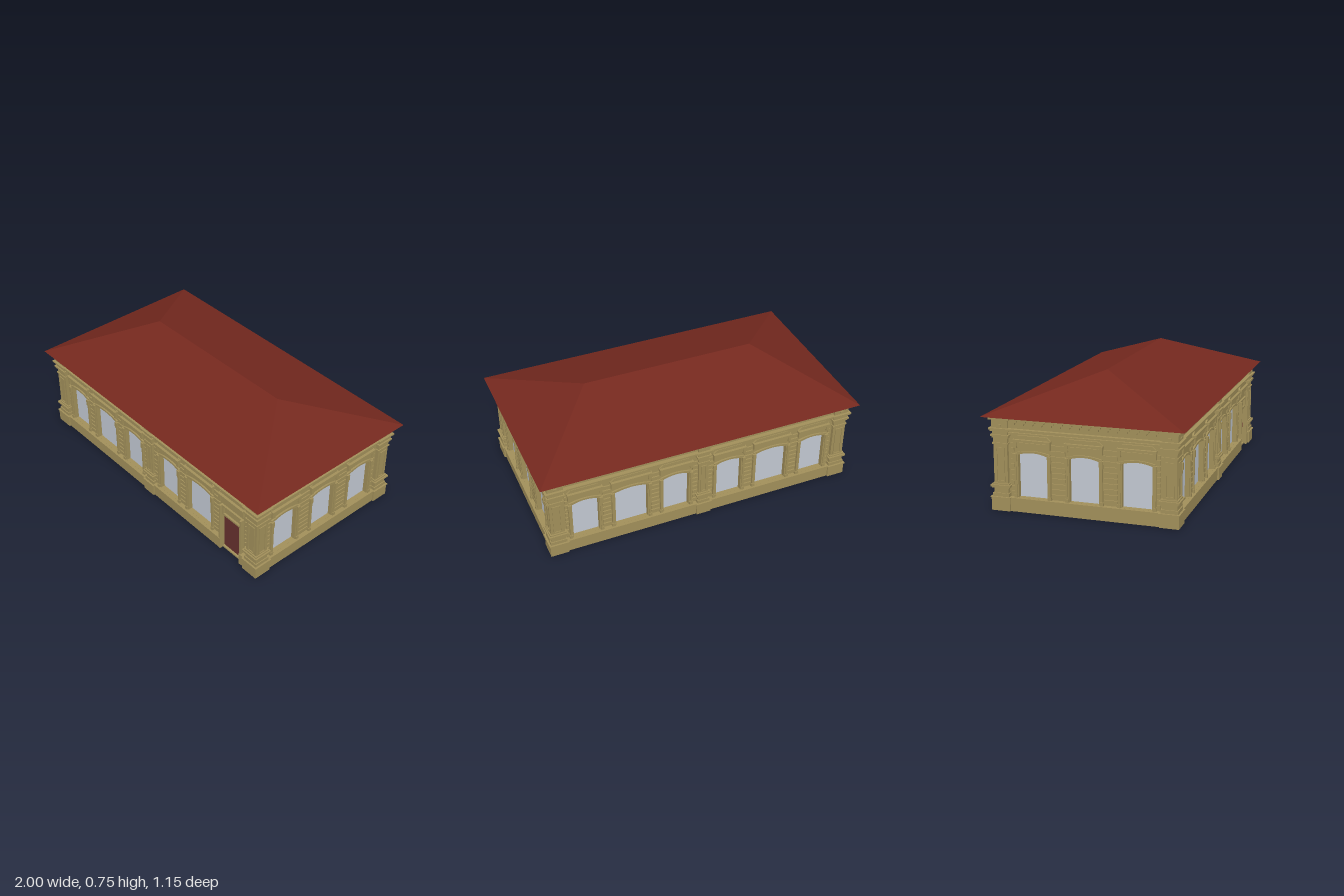
import * as THREE from 'three';

const mat = (color, side = THREE.FrontSide) => new THREE.MeshStandardMaterial({ color, side });
const stone = mat(0xa18f5a);
const roofMat = mat(0x74281e);
const glassMat = mat(0xc2c8d2, THREE.DoubleSide);
const doorMat = mat(0x66302e);

const WX = 0.925, WZ = 0.505; // wall planes

function add(parent, name, geo, material = stone, x = 0, y = 0, z = 0) {
  const m = new THREE.Mesh(geo, material);
  m.name = name;
  m.position.set(x, y, z);
  parent.add(m);
  return m;
}

// box given by its limits
function slab(parent, name, x0, x1, y0, y1, z0, z1, material = stone) {
  return add(parent, name, new THREE.BoxGeometry(x1 - x0, y1 - y0, z1 - z0), material,
    (x0 + x1) / 2, (y0 + y1) / 2, (z0 + z1) / 2);
}

// opening outline with a shallow arched head
function archPath(Type, cx, w, y0, spring, rise) {
  const p = new Type();
  p.moveTo(cx - w / 2, y0);
  p.lineTo(cx + w / 2, y0);
  p.lineTo(cx + w / 2, spring);
  p.quadraticCurveTo(cx, spring + 2 * rise, cx - w / 2, spring);
  p.closePath();
  return p;
}

function rectPath(Type, x0, x1, y0, y1) {
  return new Type([[x0, y0], [x1, y0], [x1, y1], [x0, y1]].map(p => new THREE.Vector2(...p)));
}

function extrude(parent, name, shape, z0, z1) {
  const geo = new THREE.ExtrudeGeometry(shape, { depth: z1 - z0, bevelEnabled: false, curveSegments: 10 });
  return add(parent, name, geo, stone, 0, 0, z0);
}

// chamfered hood, ledge and small end drops above an opening
function hood(parent, cx, w) {
  const h = w / 2 + 0.022;
  const s = new THREE.Shape([[-h, 0.37], [h, 0.37], [h, 0.415], [h - 0.022, 0.435], [-h + 0.022, 0.435], [-h, 0.415]]
    .map(([x, y]) => new THREE.Vector2(cx + x, y)));
  extrude(parent, 'hoodPanel', s, 0, 0.01);
  slab(parent, 'hoodLedge', cx - h - 0.004, cx + h + 0.004, 0.402, 0.414, 0, 0.026);
  slab(parent, 'hoodBand', cx - h + 0.012, cx + h - 0.012, 0.376, 0.396, 0, 0.016);
  for (const k of [-1, 1]) slab(parent, 'hoodBracket', cx + k * (h - 0.008) - 0.009, cx + k * (h - 0.008) + 0.009, 0.365, 0.402, 0, 0.021);
}

function windowUnit(parent, cx, w) {
  const g = new THREE.Group();
  g.name = 'window';
  parent.add(g);
  slab(g, 'glass', cx - w / 2 - 0.005, cx + w / 2 + 0.005, 0.075, 0.345, -0.022, -0.018, glassMat);
  const s = archPath(THREE.Shape, cx, w + 0.034, 0.08, 0.336, 0.015);
  s.holes.push(archPath(THREE.Path, cx, w, 0.0805, 0.325, 0.015));
  extrude(g, 'surround', s, 0, 0.01);
  // shouldered jambs
  for (const k of [-1, 1]) {
    const x = cx + k * (w / 2 + 0.015);
    slab(g, 'jamb', x - 0.006, x + 0.006, 0.09, 0.29, 0, 0.015);
    slab(g, 'jambShoulder', x - 0.01, x + 0.01, 0.29, 0.33, 0, 0.02);
    slab(g, 'jambFoot', x - 0.01, x + 0.01, 0.08, 0.1, 0, 0.018);
  }
  hood(g, cx, w);
}

function doorUnit(parent, cx, w) {
  const g = new THREE.Group();
  g.name = 'door';
  parent.add(g);
  slab(g, 'doorLeaf', cx - w / 2, cx + w / 2, 0.002, 0.26, -0.024, -0.008, doorMat);
  slab(g, 'doorHandle', cx + w / 2 - 0.018, cx + w / 2 - 0.012, 0.12, 0.15, -0.008, 0, doorMat);
  for (const k of [-1, 1]) {
    const x = cx + k * (w / 2 + 0.006);
    slab(g, 'doorJamb', x - 0.006, x + 0.006, 0, 0.33, 0, 0.026);
  }
  const s = rectPath(THREE.Shape, cx - w / 2, cx + w / 2, 0.26, 0.33);
  s.holes.push(rectPath(THREE.Path, cx - w / 2 + 0.012, cx + w / 2 - 0.012, 0.272, 0.318));
  extrude(g, 'transomFrame', s, 0, 0.012);
  hood(g, cx, w);
}

// raised rectangular frame on a pilaster face
function panelFrame(parent, cx, hw, y0, y1, z) {
  const s = rectPath(THREE.Shape, cx - hw, cx + hw, y0, y1);
  s.holes.push(rectPath(THREE.Path, cx - hw + 0.006, cx + hw - 0.006, y0 + 0.006, y1 - 0.006));
  extrude(parent, 'pilasterPanel', s, z - 0.002, z + 0.005);
}

// one wall: local x along it, local z outward from the wall plane
function facade(name, half, openings, centrePier, pierInner) {
  const g = new THREE.Group();
  g.name = name;
  const wall = rectPath(THREE.Shape, -half, half, 0, 0.54);
  for (const o of openings) {
    wall.holes.push(o.door ? rectPath(THREE.Path, o.x - o.w / 2, o.x + o.w / 2, 0.002, 0.26)
      : archPath(THREE.Path, o.x, o.w, 0.08, 0.325, 0.015));
    (o.door ? doorUnit : windowUnit)(g, o.x, o.w);
  }
  extrude(g, 'wall', wall, -0.03, 0);

  // plinth, interrupted by a door
  const door = openings.find(o => o.door);
  const runs = door ? [[-half, door.x - door.w / 2], [door.x + door.w / 2, half]] : [[-half, half]];
  for (const [a, b] of runs) {
    slab(g, 'plinth', a, b, 0, 0.074, -0.01, 0.025);
    slab(g, 'plinthCap', a, b, 0.074, 0.08, -0.01, 0.03);
  }

  // rusticated courses in the gaps between openings
  let edge = -pierInner;
  const stops = [...openings.map(o => [o.x - o.w / 2 - 0.025, o.x + o.w / 2 + 0.025]), [pierInner, pierInner]];
  for (const [a, b] of stops) {
    if (a - edge > 0.008) for (let i = 0; i < 10; i++)
      slab(g, 'rusticCourse', edge, a, 0.09 + i * 0.031, 0.113 + i * 0.031, 0, 0.008);
    edge = b;
  }

  // entablature bands
  const bands = [[0.44, 0.448, 0.012], [0.456, 0.463, 0.024], [0.463, 0.473, 0.036], [0.473, 0.52, 0.012],
    [0.52, 0.53, 0.03], [0.53, 0.54, 0.038]];
  for (const [y0, y1, out] of bands) slab(g, 'corniceBand', -half - out, half + out, y0, y1, -0.01, out);

  // scalloped pendants under the cornice
  const n = Math.round(2 * pierInner / 0.053), step = 2 * pierInner / n;
  for (let i = 0; i < n; i++) {
    const x = -pierInner + (i + 0.5) * step;
    if (centrePier && Math.abs(x) < 0.05) continue;
    const s = new THREE.Shape([[-0.022, 0.521], [-0.018, 0.51], [-0.009, 0.506], [-0.007, 0.496], [0.007, 0.496],
      [0.009, 0.506], [0.018, 0.51], [0.022, 0.521]].map(([u, v]) => new THREE.Vector2(x + u, v)));
    extrude(g, 'pendant', s, 0.01, 0.026);
  }

  // panels on the corner pilaster faces
  for (const k of [-1, 1]) {
    panelFrame(g, k * (half - 0.02), 0.025, 0.165, 0.36, 0.021);
    slab(g, 'friezeBlock', k * (half - 0.02) - 0.01, k * (half - 0.02) + 0.01, 0.484, 0.493, 0.02, 0.033);
  }
  if (centrePier) {
    pier(g, 'centrePilaster', 0, 0, 0.045, 0.035);
    panelFrame(g, 0, 0.018, 0.165, 0.36, 0.021);
  }
  return g;
}

// pilaster built from stacked courses: bottom, top, inset from the base size
const COURSES = [[0, 0.074, 0], [0.074, 0.08, -0.005], [0.08, 0.1, 0.006], [0.1, 0.13, 0.012], [0.13, 0.137, 0.003],
  [0.137, 0.148, -0.003], [0.148, 0.156, 0.006], [0.156, 0.38, 0.014], [0.38, 0.388, 0.008], [0.388, 0.415, 0.014],
  [0.415, 0.425, 0.007], [0.425, 0.435, 0.001], [0.435, 0.455, 0.01], [0.455, 0.463, 0], [0.463, 0.473, -0.006],
  [0.473, 0.52, 0.008], [0.52, 0.54, -0.006]];
function pier(parent, name, x, z, hx, hz) {
  const g = new THREE.Group();
  g.name = name;
  g.position.set(x, 0, z);
  parent.add(g);
  for (const [y0, y1, d] of COURSES) slab(g, 'pilasterCourse', -hx + d, hx - d, y0, y1, -hz + d, hz - d);
}

// hipped roof with a flat soffit
function hipRoof() {
  const e = 0.54, r = 0.75, X = 1, Z = 0.577, R = 0.535;
  const a = [-X, e, Z], b = [X, e, Z], c = [X, e, -Z], d = [-X, e, -Z], p = [-R, r, 0], q = [R, r, 0];
  const tris = [a, b, q, a, q, p, c, d, p, c, p, q, b, c, q, d, a, p, a, d, c, a, c, b];
  const geo = new THREE.BufferGeometry();
  geo.setAttribute('position', new THREE.Float32BufferAttribute(tris.flat(), 3));
  geo.computeVertexNormals();
  return geo;
}

export function createModel() {
  const model = new THREE.Group();
  model.name = 'house';

  const long = [[-0.73, 0.16], [-0.45, 0.2], [-0.17, 0.16], [0.17, 0.16], [0.45, 0.2], [0.73, 0.16]]
    .map(([x, w]) => ({ x, w }));
  const entry = long.map((o, i) => (i === 5 ? { ...o, door: true } : o));
  const short = [-0.3, 0, 0.3].map(x => ({ x, w: 0.17 }));

  const walls = [
    ['frontWall', WX, entry, true, 0.85, 0, WZ], ['rightWall', WZ, short, false, 0.43, 1, WX],
    ['backWall', WX, long, true, 0.85, 2, WZ], ['leftWall', WZ, short, false, 0.43, 3, WX]];
  for (const [name, half, openings, centre, inner, turn, dist] of walls) {
    const f = facade(name, half, openings, centre, inner);
    f.rotation.y = turn * Math.PI / 2;
    f.position.set(Math.sin(f.rotation.y) * dist, 0, Math.cos(f.rotation.y) * dist);
    model.add(f);
  }

  for (const sx of [-1, 1]) for (const sz of [-1, 1])
    pier(model, 'cornerPilaster', sx * 0.905, sz * 0.485, 0.055, 0.055);

  slab(model, 'floor', -0.93, 0.93, 0, 0.01, -0.51, 0.51);
  add(model, 'roof', hipRoof(), roofMat);
  return model;
}
